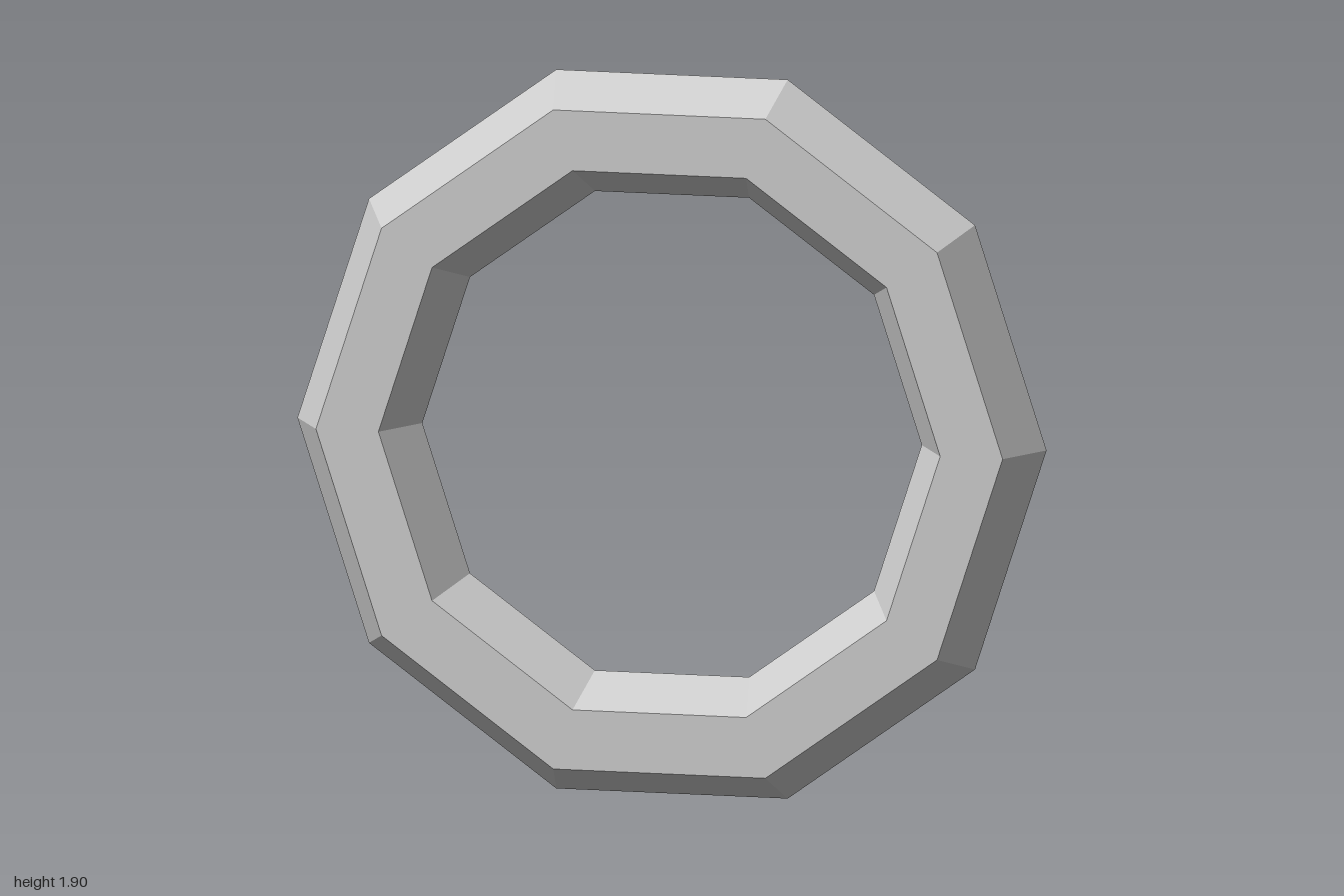
import * as THREE from 'three';

export function createModel() {
  const group = new THREE.Group();
  group.name = 'ringModel';

  // Ten-sided ring with a hexagonal cross-section
  const tubeRadius = 1 / 6;
  const ringRadius = 1 - tubeRadius;
  const segments = 10;
  const ring = new THREE.Mesh(
    new THREE.TorusGeometry(ringRadius, tubeRadius, 6, segments),
    new THREE.MeshStandardMaterial({ color: 0xcccccc, flatShading: true })
  );
  ring.name = 'ring';

  // Rest the bottom flat side on the ground
  ring.position.y = Math.cos(Math.PI / segments);
  group.add(ring);

  return group;
}
